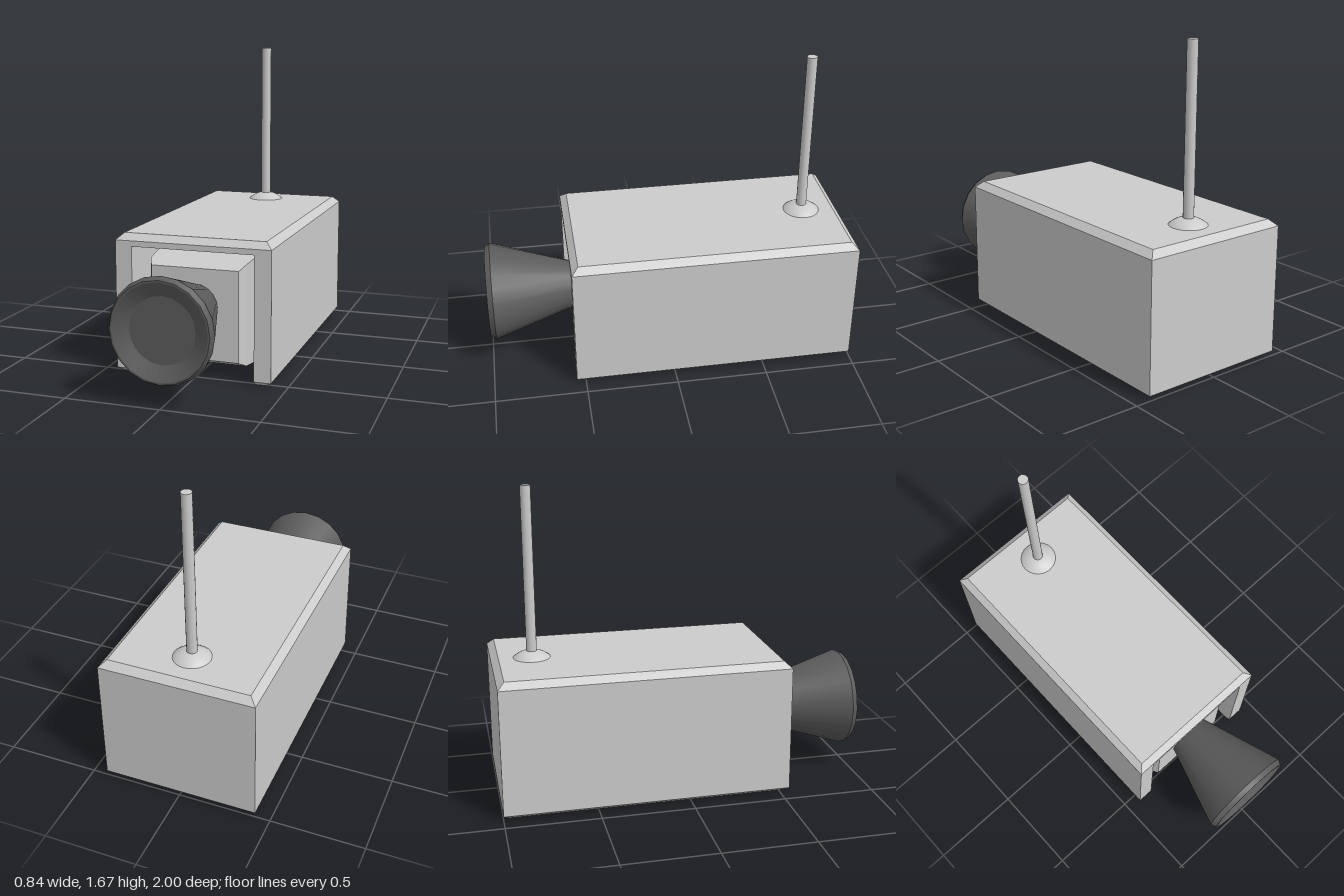
import * as THREE from 'three';
import { toCreasedNormals } from 'three/addons/utils/BufferGeometryUtils.js';

const grey = new THREE.MeshStandardMaterial({ color: 0xcccccc });
const dark = new THREE.MeshStandardMaterial({ color: 0x5c5c5c });

// Flat-faced solid through counter-clockwise outlines stacked along z: [[z, [[x, y], ...]], ...]
function loft(rings) {
  const n = rings[0][1].length;
  const pos = rings.flatMap(([z, loop]) => loop.flatMap(([x, y]) => [x, y, z]));
  const index = [];
  for (let r = 0; r < rings.length - 1; r++) {
    for (let i = 0; i < n; i++) {
      const a = r * n + i, b = r * n + (i + 1) % n;
      index.push(a, b, b + n, a, b + n, a + n);
    }
  }
  const cap = (r, flip) => {
    const contour = rings[r][1].map(([x, y]) => new THREE.Vector2(x, y));
    for (const [a, b, c] of THREE.ShapeUtils.triangulateShape(contour, [])) {
      const o = r * n;
      index.push(o + a, o + (flip ? c : b), o + (flip ? b : c));
    }
  };
  cap(0, true);
  cap(rings.length - 1, false);
  const g = new THREE.BufferGeometry();
  g.setAttribute('position', new THREE.Float32BufferAttribute(pos, 3));
  g.setIndex(index);
  const flat = g.toNonIndexed();
  flat.computeVertexNormals();
  return flat;
}

const rect = (x, y0, y1) => [[-x, y0], [x, y0], [x, y1], [-x, y1]];

function createModel() {
  const model = new THREE.Group();
  const add = (name, geometry, material = grey) => {
    const mesh = new THREE.Mesh(geometry, material);
    mesh.name = name;
    model.add(mesh);
    return mesh;
  };

  // Housing: U-shaped walls open at the front and below, under a bevelled roof
  const walls = (t) => [
    [-0.42 + t, -0.55 + t], [-0.33, -0.55 + t], [-0.33, 0.25], [0.33, 0.25],
    [0.33, -0.55 + t], [0.42 - t, -0.55 + t], [0.42 - t, 1 - t], [-0.42 + t, 1 - t],
  ];
  const roof = (t) => rect(0.42 - t, -0.55 + t, 1 - t);
  add('housingWalls', loft([[0, walls(0.035)], [0.025, walls(0)], [0.68, walls(0)]]).rotateX(-Math.PI / 2));
  add('housingRoof', loft([[0.68, roof(0)], [0.71, roof(0)], [0.745, roof(0.037)]]).rotateX(-Math.PI / 2));

  // Tapered camera block set inside the opening
  add('innerBlock', loft([
    [-0.25, rect(0.33, 0, 0.68)],
    [0.455, rect(0.262, 0.072, 0.608)],
    [0.51, rect(0.237, 0.1, 0.582)],
  ]));

  // Flared lens hood with a shallow dish
  const profile = [[0, 0.5], [0.122, 0.5], [0.27, 0.97], [0.255, 1], [0.245, 1], [0.17, 0.96], [0, 0.96]]
    .map(([r, z]) => new THREE.Vector2(r, z));
  const hood = toCreasedNormals(new THREE.LatheGeometry(profile, 20), 0.4).rotateX(Math.PI / 2);
  add('lensHood', hood, dark).position.y = 0.377;

  // Antenna on a domed base
  const R = 0.146;
  add('antennaBase', new THREE.SphereGeometry(R, 24, 6, 0, Math.PI * 2, 0, Math.asin(0.1 / R)))
    .position.set(0, 0.785 - R, -0.785);
  add('antenna', new THREE.CylinderGeometry(0.028, 0.028, 0.91, 16)).position.set(0, 1.215, -0.785);

  return model;
}

export { createModel };
